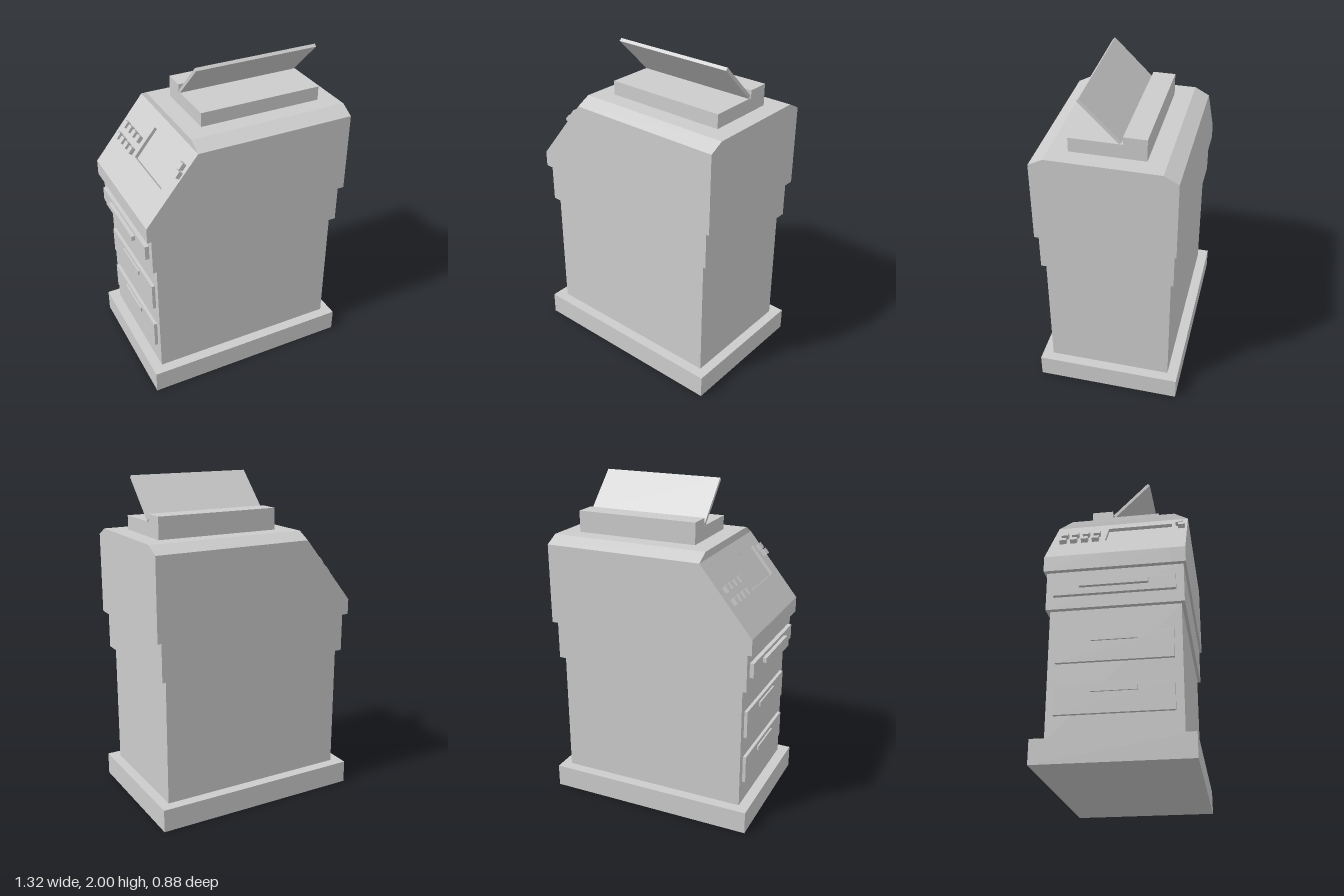
import * as THREE from 'three';

export function createModel() {
  const model = new THREE.Group();
  const grey = new THREE.MeshStandardMaterial({ color: 0xcccccc, flatShading: true });

  function add(name, geometry) {
    const mesh = new THREE.Mesh(geometry, grey);
    mesh.name = name;
    model.add(mesh);
    return mesh;
  }
  // Box given by its extents on each axis
  function box(name, x0, x1, y0, y1, z0, z1) {
    const mesh = add(name, new THREE.BoxGeometry(x1 - x0, y1 - y0, z1 - z0));
    mesh.position.set((x0 + x1) / 2, (y0 + y1) / 2, (z0 + z1) / 2);
    return mesh;
  }
  function extrude(points, depth) {
    const shape = new THREE.Shape(points.map(([x, y]) => new THREE.Vector2(x, y)));
    return new THREE.ExtrudeGeometry(shape, { depth, bevelEnabled: false });
  }

  // Stepped body
  box('base', -0.65, 0.655, 0, 0.14, -0.44, 0.44);
  box('cabinet', -0.585, 0.595, 0.14, 0.905, -0.375, 0.375);
  box('upperCabinet', -0.615, 0.625, 0.905, 1.14, -0.395, 0.395);

  // Sloping control face
  const low = [-0.645, 1.235], high = [-0.325, 1.63];
  const angle = Math.atan2(high[1] - low[1], high[0] - low[0]);
  const normal = [-Math.sin(angle), Math.cos(angle)];
  const onSlope = (x, out = 0) => [
    x + normal[0] * out,
    low[1] + (x - low[0]) * Math.tan(angle) + normal[1] * out,
  ];

  // Head in three slices; the middle one is notched to sink the screen
  const notch = [onSlope(-0.375), onSlope(-0.375, -0.02), onSlope(-0.51, -0.02), onSlope(-0.51)];
  const slices = [[-0.41, -0.08, []], [-0.08, 0.315, notch], [0.315, 0.41, []]];
  for (const [z0, z1, cut] of slices) {
    const profile = [[-0.645, 1.14], [0.655, 1.14], [0.655, 1.63], high, ...cut, low];
    const name = cut.length ? 'headWithScreenRecess' : 'headSide';
    add(name, extrude(profile, z1 - z0)).position.z = z0;
  }

  // Chamfered top of the head, running along x
  const topShape = [[-0.41, 1.63], [0.41, 1.63], [0.325, 1.675], [-0.325, 1.675]];
  const top = extrude(topShape, 0.98);
  top.rotateY(-Math.PI / 2);
  add('headTop', top).position.x = 0.655;

  // Feeder with raised rear bar and tilted tray
  box('feederBase', -0.215, 0.545, 1.675, 1.76, -0.217, 0.217);
  box('feederRearBar', -0.215, 0.545, 1.76, 1.805, -0.217, -0.085);
  const tray = box('paperTray', -0.215, 0.545, 1.87, 1.89, -0.12, 0.2);
  tray.rotation.x = -Math.PI / 4;

  // Drawers on the control side
  for (const y of [0.28, 0.58]) {
    box('drawer', -0.605, -0.585, y, y + 0.17, -0.33, 0.33);
    box('drawerHandle', -0.615, -0.605, y + 0.12, y + 0.147, -0.13, 0.13);
  }
  box('topDrawer', -0.64, -0.615, 0.98, 1.07, -0.35, 0.35);
  box('topDrawerHandle', -0.662, -0.64, 1.02, 1.05, -0.197, 0.197);

  // Buttons standing on the slope
  function button(x, z) {
    const mesh = add('button', new THREE.BoxGeometry(0.04, 0.026, 0.04));
    mesh.position.set(...onSlope(x, 0.013), z);
    mesh.rotation.z = angle;
  }
  for (const z of [-0.335, -0.27, -0.203, -0.137]) {
    for (const x of [-0.5025, -0.45]) button(x, z);
  }
  button(-0.424, 0.376);
  button(-0.395, 0.36);

  return model;
}
